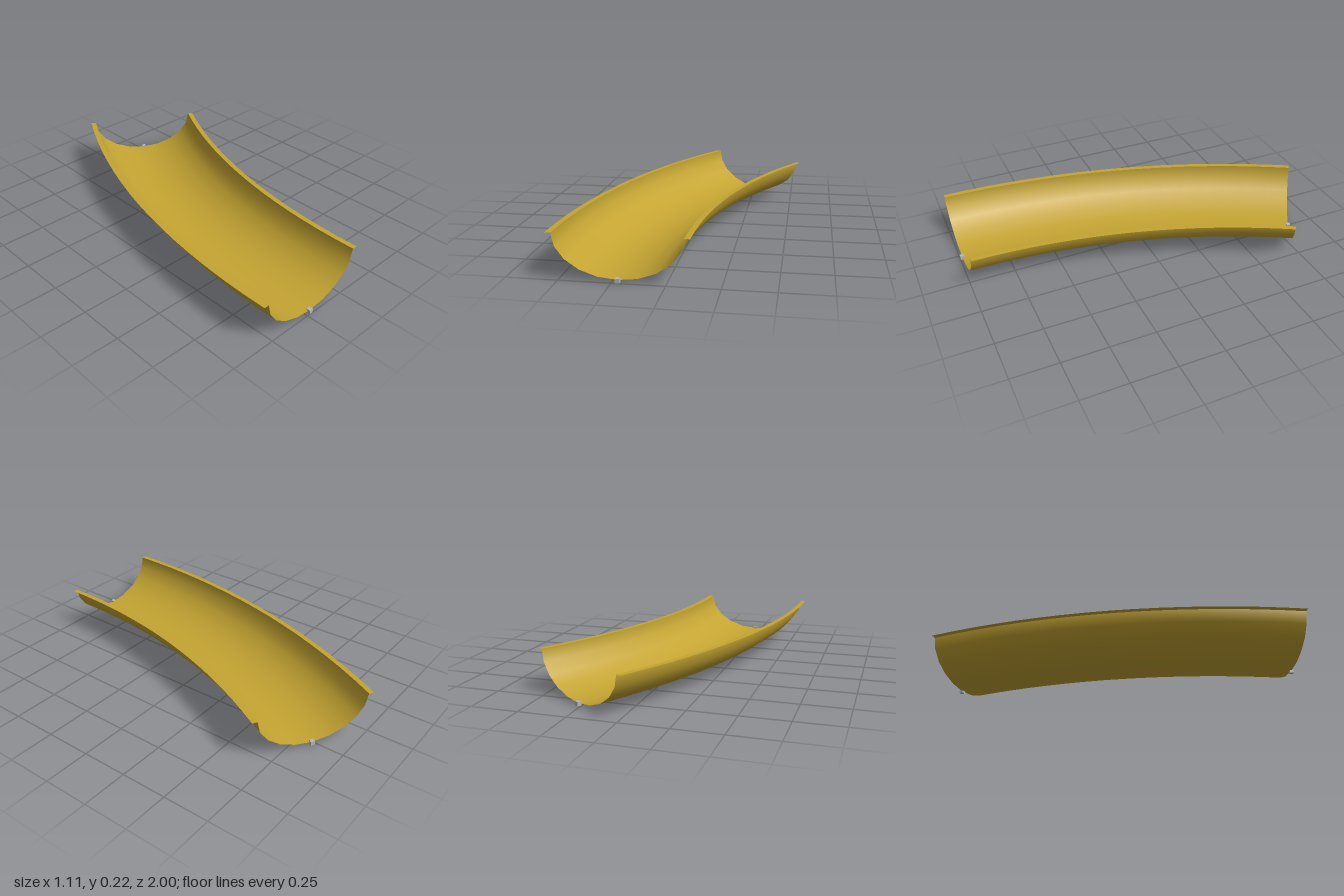
import * as THREE from 'three';
import { ParametricGeometry } from 'three/addons/geometries/ParametricGeometry.js';

const R = 3.645;            // bend radius of the centre line
const BEND = Math.PI / 6;   // total turn
const START_X = -0.222, START_Z = 0.989;
const HALF_W = 0.305, DEPTH = 0.209, RIM_Y = 0.222, LIP = 0.028;
const MARK = 0.022;         // connector cube size

// Point at a sideways offset from the centre line, at angle a along the bend
function onBend(offset, y, a, target) {
  const r = R - offset;
  return target.set(START_X + R - r * Math.cos(a), y, START_Z - r * Math.sin(a));
}

export function createModel() {
  const group = new THREE.Group();
  const gold = new THREE.MeshStandardMaterial({ color: 0xc4a432, side: THREE.DoubleSide });
  gold.name = 'gold';
  const grey = new THREE.MeshStandardMaterial({ color: 0xb8b8b8 });
  grey.name = 'light grey';

  function add(name, geometry, material) {
    const mesh = new THREE.Mesh(geometry, material);
    mesh.name = name;
    group.add(mesh);
    return mesh;
  }

  // Half-elliptical trough swept around the bend
  add('trough', new ParametricGeometry((u, v, p) => {
    const t = Math.PI * u;
    onBend(-HALF_W * Math.cos(t), RIM_Y - DEPTH * Math.sin(t), v * BEND, p);
  }, 10, 16), gold);

  // Flat lips along both rims
  for (const [name, from] of [['rightLip', -HALF_W - LIP], ['leftLip', HALF_W]]) {
    add(name, new ParametricGeometry((u, v, p) => {
      onBend(from + LIP * u, RIM_Y, v * BEND, p);
    }, 1, 16), gold);
  }

  // Small connector cubes at the middle of each end
  for (const [name, a] of [['frontConnector', 0], ['backConnector', BEND]]) {
    const cube = add(name, new THREE.BoxGeometry(MARK, MARK, MARK), grey);
    onBend(0, MARK / 2, a, cube.position);
    cube.rotation.y = -a;
  }
  return group;
}
